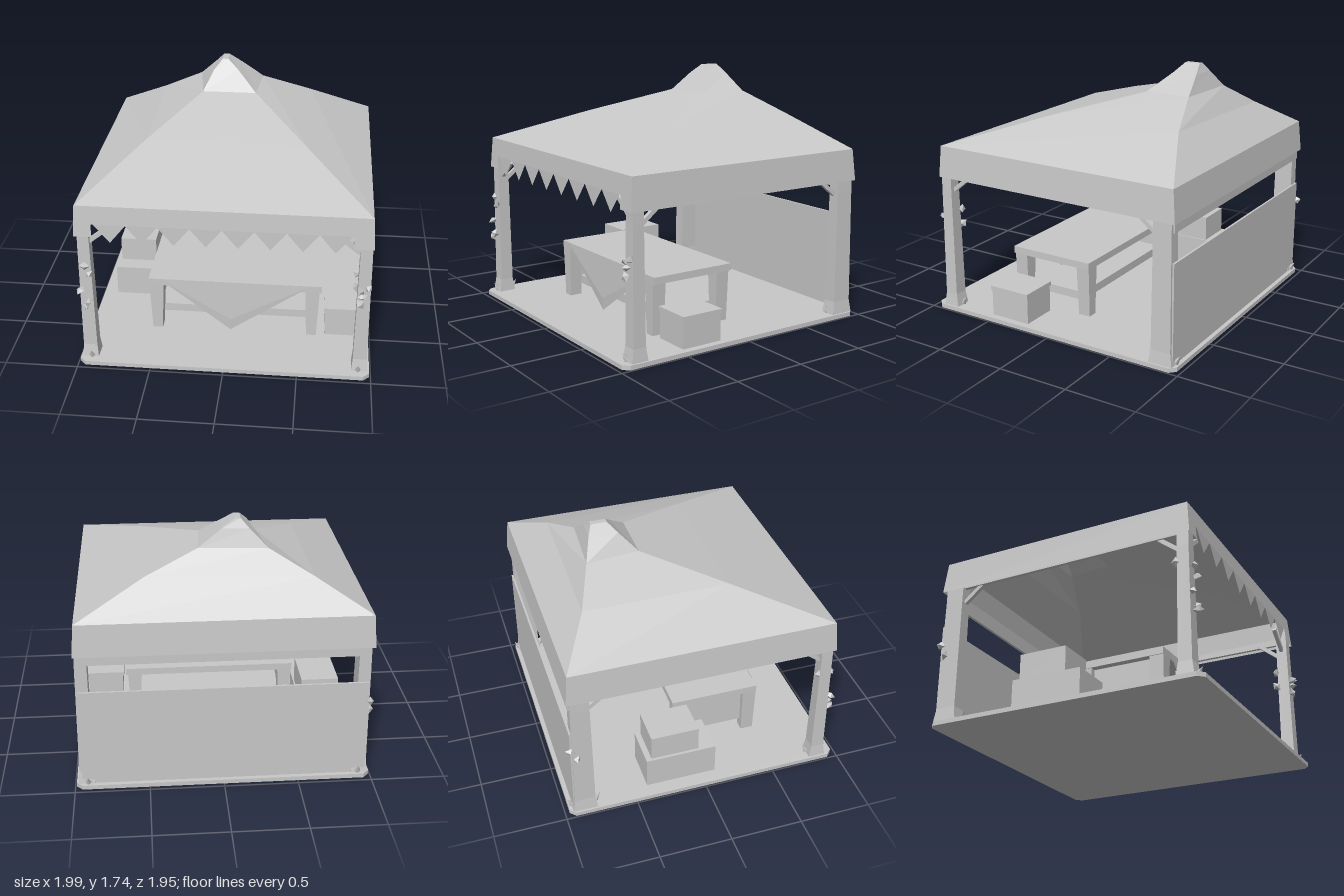
import * as THREE from 'three';

const clay = new THREE.MeshStandardMaterial({ color: 0xc8c8c8, side: THREE.DoubleSide });
clay.name = 'pale grey';

export function createModel() {
  const model = new THREE.Group();
  model.name = 'marketStall';

  const add = (name, geometry) => {
    const mesh = new THREE.Mesh(geometry, clay);
    mesh.name = name;
    model.add(mesh);
    return mesh;
  };
  // Box given by its limits on each axis
  const box = (name, x0, x1, y0, y1, z0, z1) => {
    const m = add(name, new THREE.BoxGeometry(x1 - x0, y1 - y0, z1 - z0));
    m.position.set((x0 + x1) / 2, (y0 + y1) / 2, (z0 + z1) / 2);
  };
  // Flat-shaded surface from a list of triangle corners
  const facets = (corners) => {
    const g = new THREE.BufferGeometry();
    g.setAttribute('position', new THREE.Float32BufferAttribute(corners.flat(), 3));
    g.computeVertexNormals();
    return g;
  };
  // Surface through rings of four corner points, closed at the last ring
  const loft = (rings) => {
    const corners = [];
    for (let r = 0; r < rings.length - 1; r++) {
      const lo = rings[r], hi = rings[r + 1];
      for (let i = 0; i < 4; i++) {
        const j = (i + 1) % 4;
        corners.push(lo[i], lo[j], hi[j], lo[i], hi[j], hi[i]);
      }
    }
    const [a, b, c, d] = rings[rings.length - 1];
    corners.push(a, b, c, a, c, d);
    return facets(corners);
  };
  const rect = (x0, x1, y, z0, z1) => [[x0, y, z1], [x1, y, z1], [x1, y, z0], [x0, y, z0]];
  const polygon = (points) => new THREE.Shape(points.map(([x, y]) => new THREE.Vector2(x, y)));
  // Square bar between two points
  const bar = (name, a, b, width) => {
    const from = new THREE.Vector3(...a), to = new THREE.Vector3(...b);
    const m = add(name, new THREE.BoxGeometry(width, width, from.distanceTo(to)));
    m.position.copy(from).add(to).multiplyScalar(0.5);
    m.lookAt(to);
  };

  // Floor slab with clipped corners
  const fx = 0.99, fz = 0.97, c = 0.04;
  const floorShape = polygon([
    [-fx + c, -fz], [fx - c, -fz], [fx, -fz + c], [fx, fz - c],
    [fx - c, fz], [-fx + c, fz], [-fx, fz - c], [-fx, -fz + c],
  ]);
  const floor = new THREE.ExtrudeGeometry(floorShape, { depth: 0.03, bevelEnabled: false });
  floor.rotateX(-Math.PI / 2);
  add('floor', floor);

  // Canopy rising to an off-centre peak, front-left corner first in every ring
  const eaves = rect(-0.965, 0.955, 1.2, -0.93, 0.89);
  add('canopy', loft([
    eaves,
    [[-0.59, 1.4, 0.27], [0.5, 1.4, 0.28], [0.5, 1.42, -0.71], [-0.6, 1.4, -0.73]],
    [[-0.26, 1.555, -0.25], [0.12, 1.555, -0.25], [0.15, 1.56, -0.59], [-0.31, 1.56, -0.62]],
    [[-0.19, 1.68, -0.37], [-0.02, 1.68, -0.38], [-0.01, 1.68, -0.56], [-0.19, 1.68, -0.57]],
    rect(-0.135, -0.095, 1.74, -0.54, -0.43),
  ]));

  // Valance: sides and back hang straight, front is cut away between the corners
  const hem = rect(-0.98, 0.97, 0.98, -0.95, 0.905);
  ['rightSide', 'back', 'leftSide'].forEach((side, k) => {
    const i = k + 1, j = (i + 1) % 4;
    add(side + 'Valance', facets([hem[i], hem[j], eaves[j], hem[i], eaves[j], eaves[i]]));
  });
  const front = new THREE.ShapeGeometry(polygon([
    [-0.98, 0.98], [-0.86, 0.98], [-0.86, 1.07], [0.84, 1.07],
    [0.84, 0.98], [0.97, 0.98], [0.955, 1.2], [-0.965, 1.2],
  ]));
  const fp = front.attributes.position;
  for (let i = 0; i < fp.count; i++) fp.setZ(i, 0.89 + (1.2 - fp.getY(i)) * 0.07);
  front.computeVertexNormals();
  add('frontValance', front);

  // Row of pennants
  for (let i = 0; i < 8; i++) {
    const x = -0.74 + i * 0.209;
    const flag = add('pennant', new THREE.ShapeGeometry(polygon([[x - 0.105, 1.07], [x, 0.94], [x + 0.105, 1.07]])));
    flag.position.z = 0.899;
  }

  // Frame beams under the canopy
  box('backBeam', -0.95, 0.94, 0.915, 1.02, -0.935, -0.915);
  for (const s of [-1, 1]) box('sideBeam', s * 0.935 - 0.012, s * 0.935 + 0.012, 0.99, 1.04, -0.9, 0.87);

  // Posts with flared feet, braces and leafy spikes at the base
  for (const sx of [-1, 1]) {
    for (const sz of [-1, 1]) {
      const x = sx * 0.922, z = sz > 0 ? 0.85 : -0.86;
      const d = sz > 0 ? 0.04 : 0.065;
      const ring = (y, w, k) => rect(x - w, x + w, y, z - k, z + k);
      add('post', loft([
        ring(0.03, 0.055, d + 0.02), ring(0.12, 0.047, d + 0.006),
        ring(0.9, 0.04, d), ring(1.15, 0.035, d),
      ]));
      bar('sideBrace', [x, 0.89, z - sz * d], [x, 1.01, z - sz * (d + 0.15)], 0.028);
      bar('crossBrace', [x - sx * 0.03, 0.92, z], [x - sx * 0.18, 1.04, z], 0.028);
      for (const t of [-1, 1]) {
        const spike = add('leafSpike', new THREE.ConeGeometry(0.026, 0.075, 4));
        spike.position.set(x - sx * 0.01, 0.062, z + t * (d + 0.03));
        spike.rotation.x = t * 0.6;
      }
    }
  }

  // Clusters of small leaves clinging to the posts
  const leaves = [
    [-0.92, 0.76, 0.91], [-0.96, 0.79, 0.8], [-0.96, 0.57, 0.91], [-0.91, 0.48, 0.92],
    [-0.93, 0.45, 0.93], [-0.89, 0.7, 0.91], [0.87, 0.74, 0.8], [0.9, 0.67, 0.91],
    [0.95, 0.69, 0.9], [0.9, 0.57, 0.91], [0.87, 0.63, 0.8], [0.91, 0.63, 0.91],
    [-0.97, 0.58, -0.94], [-0.97, 0.5, -0.9],
  ];
  leaves.forEach(([x, y, z], i) => {
    const leaf = add('leaf', new THREE.OctahedronGeometry(0.038));
    leaf.position.set(x, y, z);
    leaf.rotation.set(i, i * 1.7, i * 0.6);
    leaf.scale.set(1, 0.8, 0.6);
  });

  // Low back wall
  box('backWall', -0.96, 0.95, 0.03, 0.72, -0.94, -0.925);

  // Table with tapering legs, low shelf and end panel
  box('tableTop', -0.57, 0.65, 0.39, 0.44, -0.11, 0.525);
  for (const x of [-0.515, 0.585]) {
    for (const z of [-0.05, 0.475]) {
      add('tableLeg', loft([
        rect(x - 0.035, x + 0.035, 0.03, z - 0.045, z + 0.045),
        rect(x - 0.05, x + 0.05, 0.39, z - 0.05, z + 0.05),
      ]));
    }
  }
  box('tableShelf', -0.5, 0.56, 0.11, 0.17, 0.0, 0.42);
  box('tableEndPanel', -0.52, -0.5, 0.11, 0.39, 0.0, 0.43);

  // Pointed cloth hanging flush with the table front, creased down its middle
  const l = [-0.49, 0.44, 0.528], r = [0.57, 0.44, 0.528], tip = [0.01, 0.05, 0.532];
  const fold = [0.01, 0.14, 0.538], crest = [0.02, 0.38, 0.53];
  add('tableCloth', facets([l, crest, r, l, fold, crest, crest, fold, r, l, tip, fold, fold, tip, r]));

  // Crates beside the table
  box('lowerCrate', -0.89, -0.595, 0.03, 0.255, -0.4, 0.1);
  box('upperCrate', -0.87, -0.605, 0.255, 0.435, -0.36, -0.02);
  box('sideCrate', 0.68, 0.94, 0.03, 0.22, 0.2, 0.5);
  box('sideCrateLid', 0.67, 0.95, 0.22, 0.25, 0.195, 0.505);

  return model;
}
